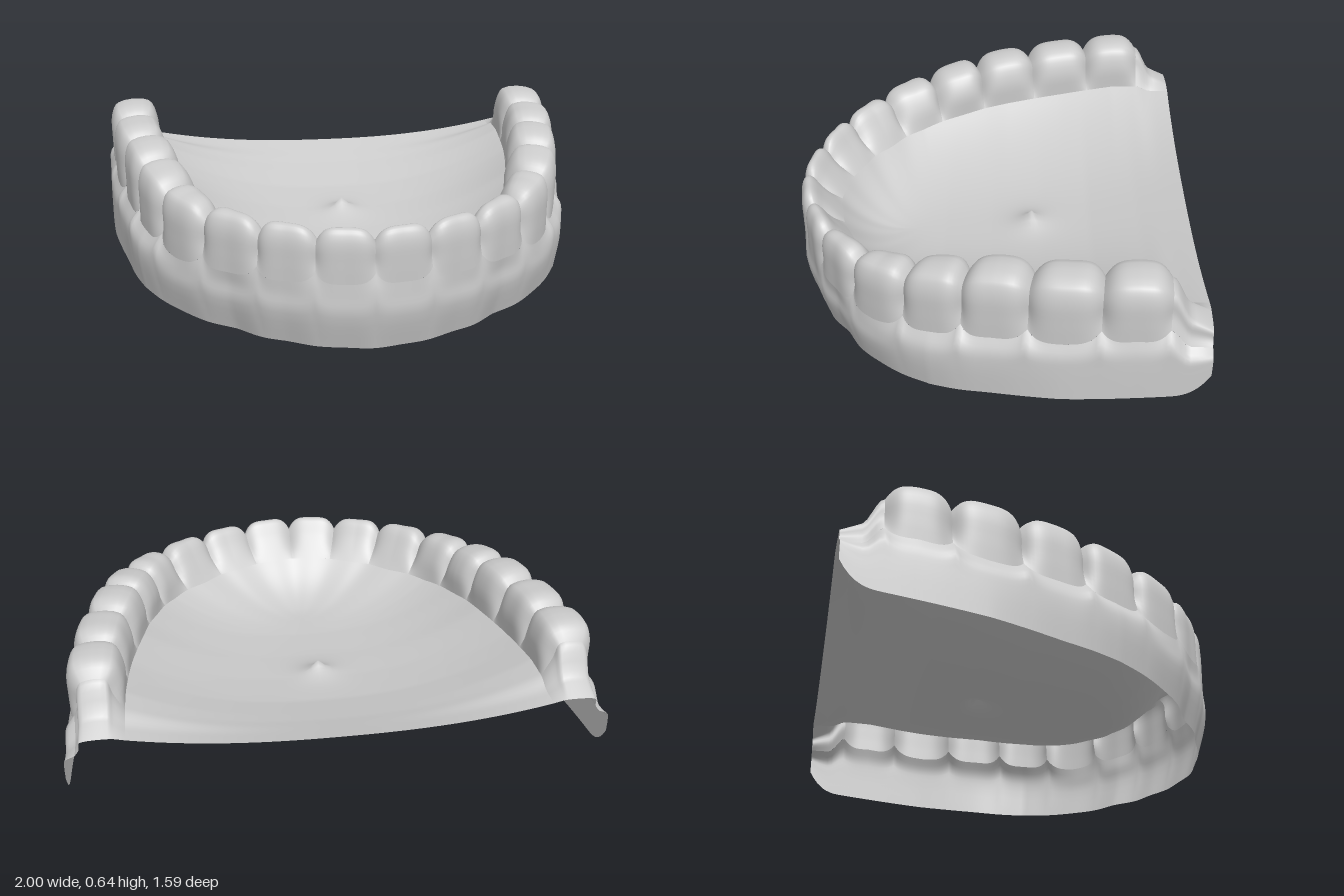
import * as THREE from 'three';
import { mergeVertices } from 'three/addons/utils/BufferGeometryUtils.js';

const { lerp, clamp, smoothstep } = THREE.MathUtils;
const END = 17;

// Half of the arch centre line: tooth gaps and tooth centres alternate
const half = [[0, .73], [.1, .715], [.2, .695], [.3, .65], [.39, .61], [.475, .54], [.565, .47], [.635, .38], [.69, .285],
  [.73, .18], [.765, .08], [.79, -.03], [.82, -.155], [.845, -.28], [.86, -.405], [.87, -.525], [.875, -.64], [.88, -.79]];
const arch = new THREE.CatmullRomCurve3(
  [...half.slice(1).reverse().map(([x, z]) => [-x, z]), ...half].map(([x, z]) => new THREE.Vector3(x, 0, z)),
  false, 'catmullrom', 0.5);

// Sizes per tooth, from the middle incisor to the last molar
const size = {
  top: [.48, .485, .495, .515, .56, .6, .62, .64],
  gum: [.27, .27, .27, .27, .31, .34, .36, .4],
  gumIn: [.33, .33, .33, .34, .37, .4, .42, .45],
  out: [.06, .065, .075, .09, .1, .1, .1, .1],
  wall: [.065, .065, .07, .1, .135, .13, .125, .12],
  inset: [.04, .04, .04, .03, .02, .01, 0, 0],
  topIn: [.02, .02, .01, -.03, -.05, -.06, -.06, -.065],
  midIn: [-.03, -.03, -.045, -.08, -.1, -.1, -.1, -.1],
};
const floorHeights = [.36, .3, .25, .22, .2, .185, .18, .18, .18]; // z from -0.8 in steps of 0.2

function table(list, t) {
  const c = clamp(t, 0, list.length - 1), i = Math.min(Math.floor(c), list.length - 2);
  return lerp(list[i], list[i + 1], c - i);
}

// Centre and outward direction of the arch at s (-17..17)
function frame(s) {
  const at = (v) => arch.getPoint(clamp((v + END) / (2 * END), 0, 1));
  const d = at(s + 1).sub(at(s - 1)).normalize();
  return { centre: at(s), out: new THREE.Vector3(-d.z, 0, d.x) };
}

// Cross-section: outer rim, gum wall, crown, inner gum line
function section(s) {
  const a = Math.abs(s), t = (a - 1) / 2, { centre, out } = frame(s);
  const m = {};
  for (const key in size) m[key] = table(size[key], t);
  const tail = Math.max(0, a - 16), e = smoothstep(tail, 0, .5);
  const p = a >= 16 ? 1 : (a % 2) - 1;
  const gap = p ** 4, g = 1 - .38 * gap;
  const rim = .12 * (.75 - centre.z) + .09 * tail ** 3;
  const top = lerp(m.top - .05 * gap, .52 - .08 * tail, e);
  const gum = lerp(m.gum + .04 * gap, .37, e);
  const gumIn = lerp(m.gumIn, .425, e);
  const place = ([n, y]) => centre.clone().addScaledVector(out, n).setY(y);
  return {
    wall: [
      [m.wall - m.inset, rim], [m.wall, lerp(rim, gum, .55)],
      [m.wall * .97, lerp(rim, gum, .8)], [m.out * (1 - .2 * gap), gum],
    ].map(place),
    crown: [
      [m.out * (1 - .2 * gap), gum], [m.out * 1.03 * g, lerp(gum, top, .35)],
      [m.out * g, lerp(gum, top, .75)], [m.out * .72 * g, top - .01],
      [m.topIn * g, top - .005], [m.midIn * g, lerp(gumIn, top, .55)], [-.1, gumIn],
    ].map(place),
  };
}

// Palate: falls from the inner gum line to a middle line, with a small bump
function palatePoint(edge, q) {
  const spine = edge.z < 0 ? edge.z : edge.z * .55;
  const x = edge.x * (1 - q), z = lerp(edge.z, spine, q);
  const low = table(floorHeights, (z + .8) / .2);
  const bump = .065 * Math.exp(-Math.hypot(x, z + .16) / .05);
  return new THREE.Vector3(x, lerp(low, edge.y, (1 - q) ** 2.4) + bump, z);
}

// Sheet between s0 and s1; row(s) gives a function of v (0..1)
function sheet(name, row, s0, s1, ns, nv, material) {
  const pos = [], index = [];
  for (let i = 0; i <= ns; i++) {
    const point = row(lerp(s0, s1, i / ns));
    for (let j = 0; j <= nv; j++) {
      const v = point(j / nv);
      pos.push(v.x, v.y, Math.max(v.z, -.795));
      if (i === ns || j === nv) continue;
      const a = i * (nv + 1) + j, b = a + nv + 1;
      index.push(a, b, a + 1, b, b + 1, a + 1);
    }
  }
  let geo = new THREE.BufferGeometry();
  geo.setAttribute('position', new THREE.Float32BufferAttribute(pos, 3));
  geo.setIndex(index);
  geo = mergeVertices(geo, 1e-5);
  geo.computeVertexNormals();
  const mesh = new THREE.Mesh(geo, material);
  mesh.name = name;
  return mesh;
}

export function createModel() {
  const group = new THREE.Group();
  group.name = 'dentalArch';
  const material = new THREE.MeshStandardMaterial({ color: 0xcccccc, side: THREE.DoubleSide });
  const strip = (part) => (s) => {
    const curve = new THREE.CatmullRomCurve3(section(s)[part]);
    return (v) => curve.getPoint(v);
  };
  const palateRow = (s) => {
    const edge = section(s).crown.at(-1);
    return (q) => palatePoint(edge, q);
  };

  group.add(sheet('gumWall', strip('wall'), -END, END, 272, 10, material));
  group.add(sheet('palate', palateRow, -END, END, 272, 24, material));

  // Eight teeth on each side
  const teeth = new THREE.Group();
  teeth.name = 'teeth';
  for (let j = -8; j < 8; j++) {
    const name = (j < 0 ? 'rightTooth' : 'leftTooth') + (j < 0 ? -j : j + 1);
    teeth.add(sheet(name, strip('crown'), 2 * j, 2 * j + 2, 20, 24, material));
  }
  group.add(teeth);

  // Low gum ridge behind the last molars
  group.add(sheet('rightRidgeEnd', strip('crown'), -END, -16, 10, 24, material));
  group.add(sheet('leftRidgeEnd', strip('crown'), 16, END, 10, 24, material));
  return group;
}
